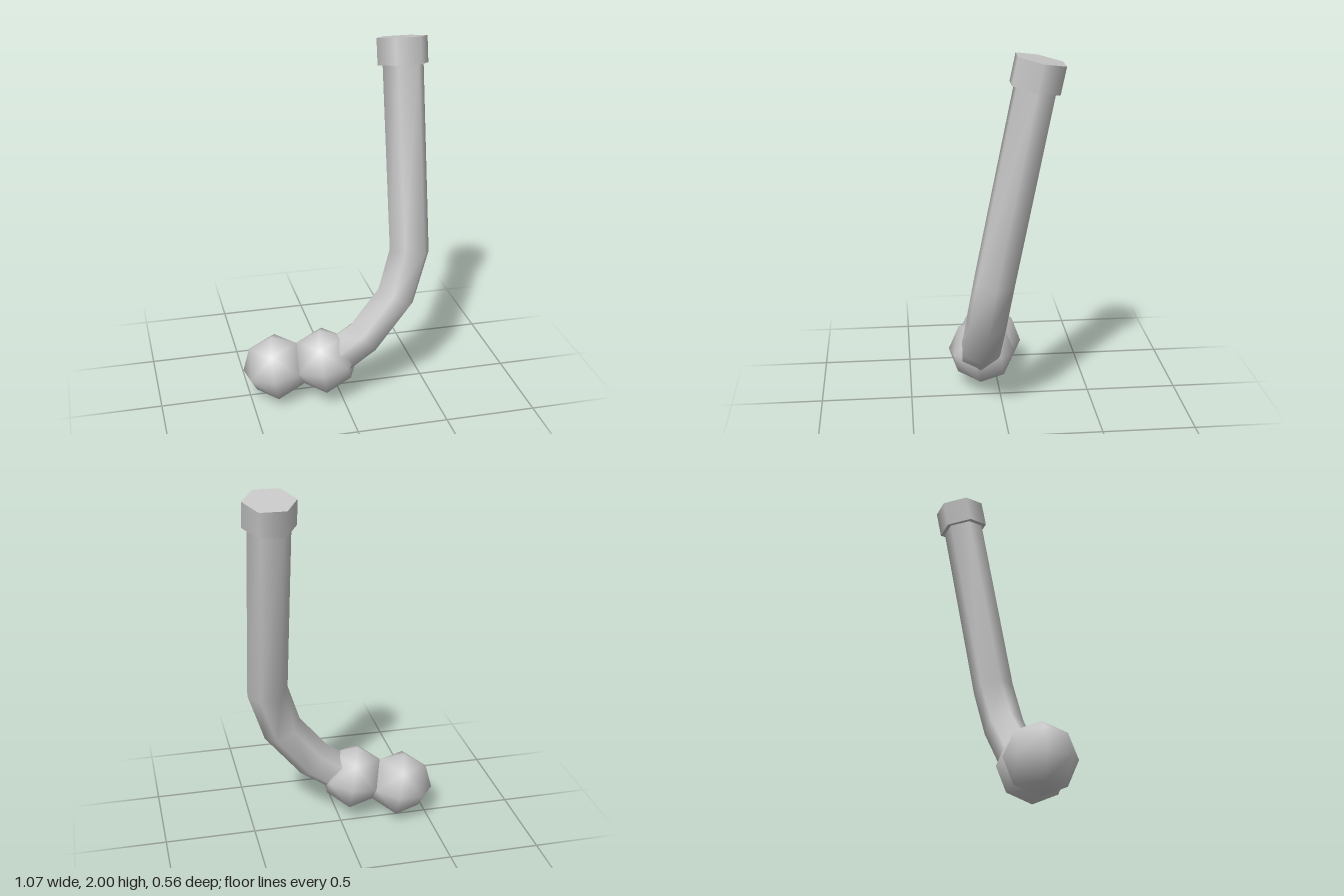
import * as THREE from 'three';

const SIDES = 6;

// Six-sided tube through the given centres, with mitred rings and a closed lower end
function bentTube(points, radius) {
  const centres = points.map((p) => new THREE.Vector3(...p));
  const positions = [];
  const index = [];
  const addRing = (centre, tangent, r) => {
    const depth = new THREE.Vector3(0, 0, 1).addScaledVector(tangent, -tangent.z).normalize();
    const across = new THREE.Vector3().crossVectors(depth, tangent);
    for (let i = 0; i < SIDES; i++) {
      const a = (i / SIDES) * Math.PI * 2;
      const v = centre.clone()
        .addScaledVector(across, Math.cos(a) * r)
        .addScaledVector(depth, Math.sin(a) * r);
      positions.push(v.x, v.y, v.z);
    }
  };
  const direction = (i) => centres[i + 1].clone().sub(centres[i]).normalize();
  const last = centres.length - 1;

  // End cap: a centre ring and its own copy of the rim
  addRing(centres[0], direction(0), 0);
  addRing(centres[0], direction(0), radius);
  for (let i = 0; i <= last; i++) {
    const tangent = direction(Math.min(i, last - 1));
    if (i > 0 && i < last) tangent.add(direction(i - 1)).normalize();
    addRing(centres[i], tangent, radius);
  }
  const rings = positions.length / 3 / SIDES;
  for (let r = 0; r < rings - 1; r++) {
    if (r === 1) continue; // crease between cap and wall
    for (let i = 0; i < SIDES; i++) {
      const j = (i + 1) % SIDES;
      const a = r * SIDES + i, b = r * SIDES + j;
      const c = a + SIDES, d = b + SIDES;
      if (r > 0) index.push(a, b, d);
      index.push(a, d, c);
    }
  }
  const geometry = new THREE.BufferGeometry();
  geometry.setAttribute('position', new THREE.Float32BufferAttribute(positions, 3));
  geometry.setIndex(index);
  geometry.computeVertexNormals();
  return geometry;
}

export function createModel() {
  const model = new THREE.Group();
  model.name = 'bentRod';
  const grey = new THREE.MeshStandardMaterial({ color: 0xc8c8c8 });
  grey.name = 'grey';

  const add = (name, geometry, position = [0, 0, 0], rotation = [0, 0, 0]) => {
    const mesh = new THREE.Mesh(geometry, grey);
    mesh.name = name;
    mesh.position.set(...position);
    mesh.rotation.set(...rotation);
    model.add(mesh);
  };

  // Curved shaft, from the knobs up to the collar
  add('shaft', bentTube([
    [-0.01, 0.265, 0.115],
    [0.13, 0.36, 0.113],
    [0.312, 0.585, 0.1],
    [0.394, 0.84, 0.066],
    [0.394, 1.86, -0.137],
  ], 0.113));

  // Hexagonal collar on the tilted upper end
  add('collar', new THREE.CylinderGeometry(0.139, 0.139, 0.143, SIDES, 1, false, Math.PI / 6),
    [0.393, 1.905, -0.146], [-0.205, -0.025, 0]);

  // Two overlapping faceted knobs, turned along the line that joins them
  const knob = new THREE.OctahedronGeometry(0.188, 1);
  const turn = [0, -0.242, 0.14];
  add('innerKnob', knob, [-0.095, 0.23, 0.098], turn);
  add('outerKnob', knob, [-0.354, 0.188, 0.035], turn);

  return model;
}
